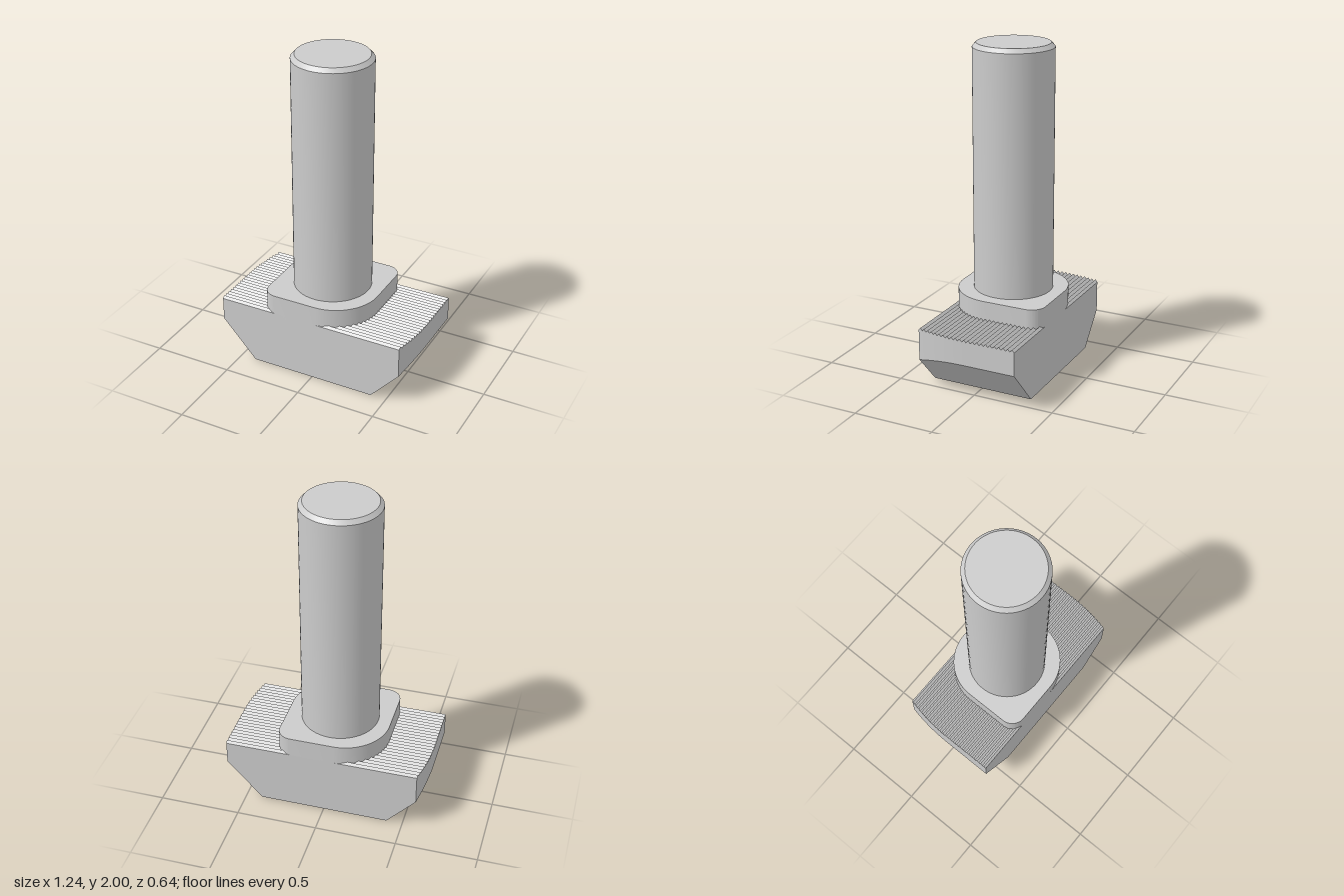
import * as THREE from 'three';
import { toCreasedNormals } from 'three/addons/utils/BufferGeometryUtils.js';

const material = new THREE.MeshStandardMaterial({ color: 0xcccccc });
const HALF_Z = 0.32, SHANK_X = -0.02, TEETH = 23;

// T-shaped head: hexagonal sections along z, with a toothed top and one curved half on each end
function headGeometry() {
  const endX = (z) => 0.62 - 0.042 * (Math.max(z, 0) / HALF_Z) ** 2;
  const chamferY = (x) => ((x - 0.4) * 0.24) / 0.22;
  const rings = [];
  for (let k = 0; k <= TEETH * 2; k++) {
    const z = -HALF_Z + (k * HALF_Z) / TEETH;
    const right = endX(z), left = endX(-z);
    const top = k % 2 ? 0.4 : 0.385;
    rings.push([
      [-0.4, 0, z], [0.4, 0, z],
      [right, chamferY(right), z], [right, top, z],
      [-left, top, z], [-left, chamferY(left), z],
    ]);
  }
  const pos = [];
  const tri = (a, b, c) => pos.push(...a, ...b, ...c);
  for (let k = 0; k < rings.length - 1; k++) {
    for (let i = 0; i < 6; i++) {
      const j = (i + 1) % 6;
      tri(rings[k][i], rings[k][j], rings[k + 1][j]);
      tri(rings[k][i], rings[k + 1][j], rings[k + 1][i]);
    }
  }
  const back = rings[0], front = rings[rings.length - 1];
  for (let i = 1; i < 5; i++) {
    tri(front[0], front[i], front[i + 1]);
    tri(back[0], back[i + 1], back[i]);
  }
  const geometry = new THREE.BufferGeometry();
  geometry.setAttribute('position', new THREE.Float32BufferAttribute(pos, 3));
  return toCreasedNormals(geometry, 0.4);
}

// Square collar with two wide and two tight corners, diagonally paired
function collarGeometry() {
  const h = 0.32, wide = 0.28, tight = 0.09;
  const shape = new THREE.Shape();
  const corner = (sx, sy, r, start) =>
    shape.absarc(sx * (h - r), sy * (h - r), r, start, start + Math.PI / 2, false);
  corner(1, 1, tight, 0);
  corner(-1, 1, wide, Math.PI / 2);
  corner(-1, -1, tight, Math.PI);
  corner(1, -1, wide, Math.PI * 1.5);
  shape.closePath();
  const geometry = new THREE.ExtrudeGeometry(shape, { depth: 0.15, bevelEnabled: false, curveSegments: 16 });
  geometry.rotateX(-Math.PI / 2);
  return toCreasedNormals(geometry, 0.5);
}

// Round shank with a chamfered tip
function shankGeometry() {
  const profile = [[0, 0.45], [0.24, 0.45], [0.24, 1.975], [0.217, 2], [0, 2]];
  const lathe = new THREE.LatheGeometry(profile.map(([r, y]) => new THREE.Vector2(r, y)), 64);
  return toCreasedNormals(lathe, 0.5);
}

export function createModel() {
  const group = new THREE.Group();
  group.name = 'hammerHeadBolt';
  const add = (name, geometry, x = 0, y = 0) => {
    const mesh = new THREE.Mesh(geometry, material);
    mesh.name = name;
    mesh.position.set(x, y, 0);
    group.add(mesh);
  };
  add('head', headGeometry());
  add('collar', collarGeometry(), SHANK_X, 0.36);
  add('shank', shankGeometry(), SHANK_X);
  return group;
}
